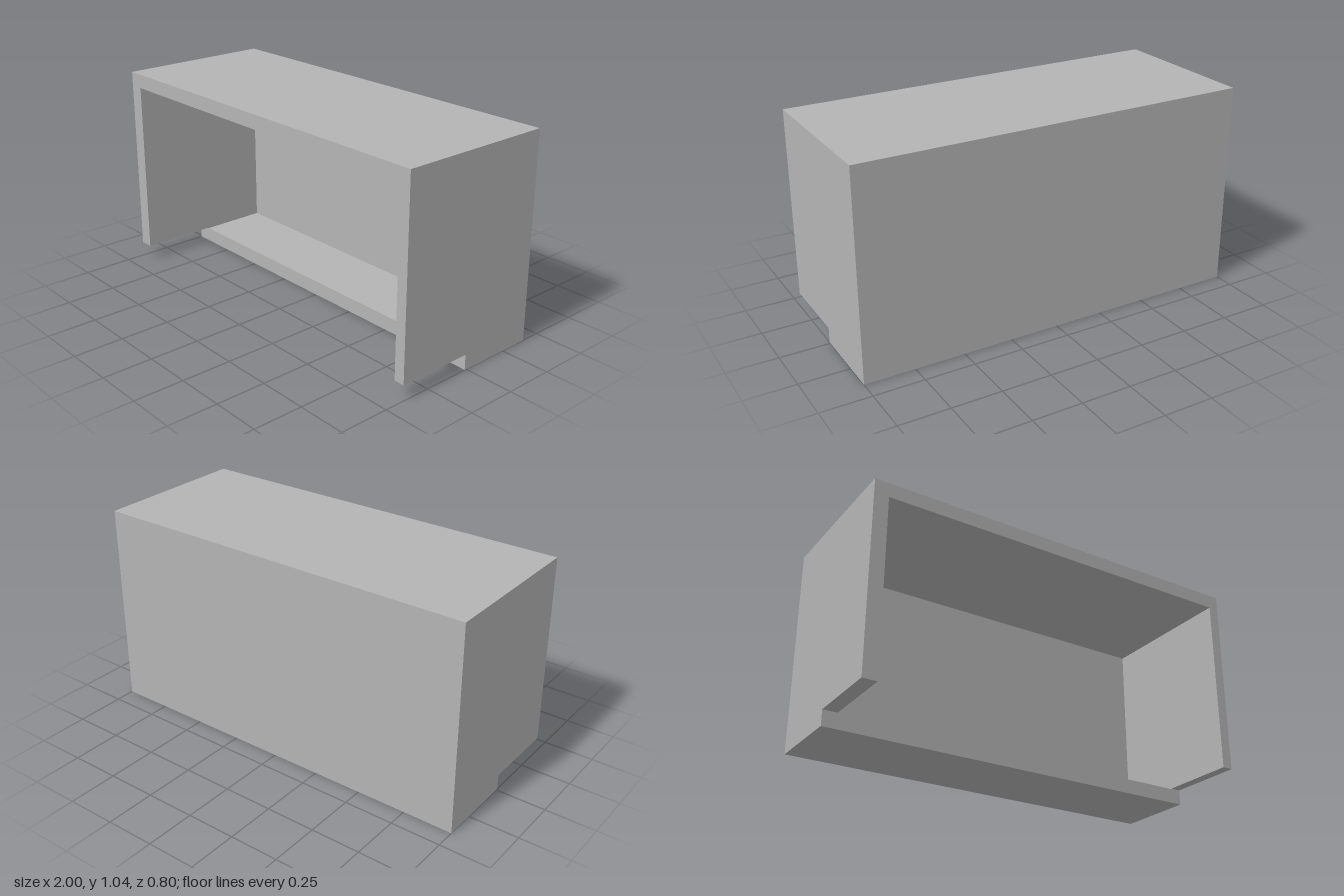
import * as THREE from 'three';

export function createModel() {
  const group = new THREE.Group();
  const grey = new THREE.MeshStandardMaterial({ color: 0xb4b4b4 });
  grey.name = 'plain grey';

  // Outer size, and the inner faces of the open box
  const W = 1, H = 1.037, D = 0.4;
  const left = 0.947, right = -0.928, ceiling = 0.965, floorTop = 0.074, backFace = -0.34;
  const baseFront = 0.01, sideBottom = 0.077;

  const panel = (name, x0, x1, y0, y1, z0, z1) => {
    const mesh = new THREE.Mesh(new THREE.BoxGeometry(x1 - x0, y1 - y0, z1 - z0), grey);
    mesh.position.set((x0 + x1) / 2, (y0 + y1) / 2, (z0 + z1) / 2);
    mesh.name = name;
    group.add(mesh);
  };

  // Side panel: profile in z and y, with the front lower corner notched out
  const side = (name, x0, x1) => {
    const profile = new THREE.Shape([
      [D, 0], [D, H], [-D, H], [-D, sideBottom], [-baseFront, sideBottom], [-baseFront, 0],
    ].map(([x, y]) => new THREE.Vector2(x, y)));
    const geometry = new THREE.ExtrudeGeometry(profile, { depth: x1 - x0, bevelEnabled: false });
    geometry.rotateY(Math.PI / 2); // profile x becomes -z, depth becomes +x
    const mesh = new THREE.Mesh(geometry, grey);
    mesh.position.x = x0;
    mesh.name = name;
    group.add(mesh);
  };

  side('leftSide', left, W);
  side('rightSide', -W, right);

  // Panels spanning between the sides
  panel('top', right, left, ceiling, H, -D, D);
  panel('back', right, left, floorTop, ceiling, -D, backFace);
  panel('floor', right, left, 0, floorTop, -D, baseFront);

  return group;
}
